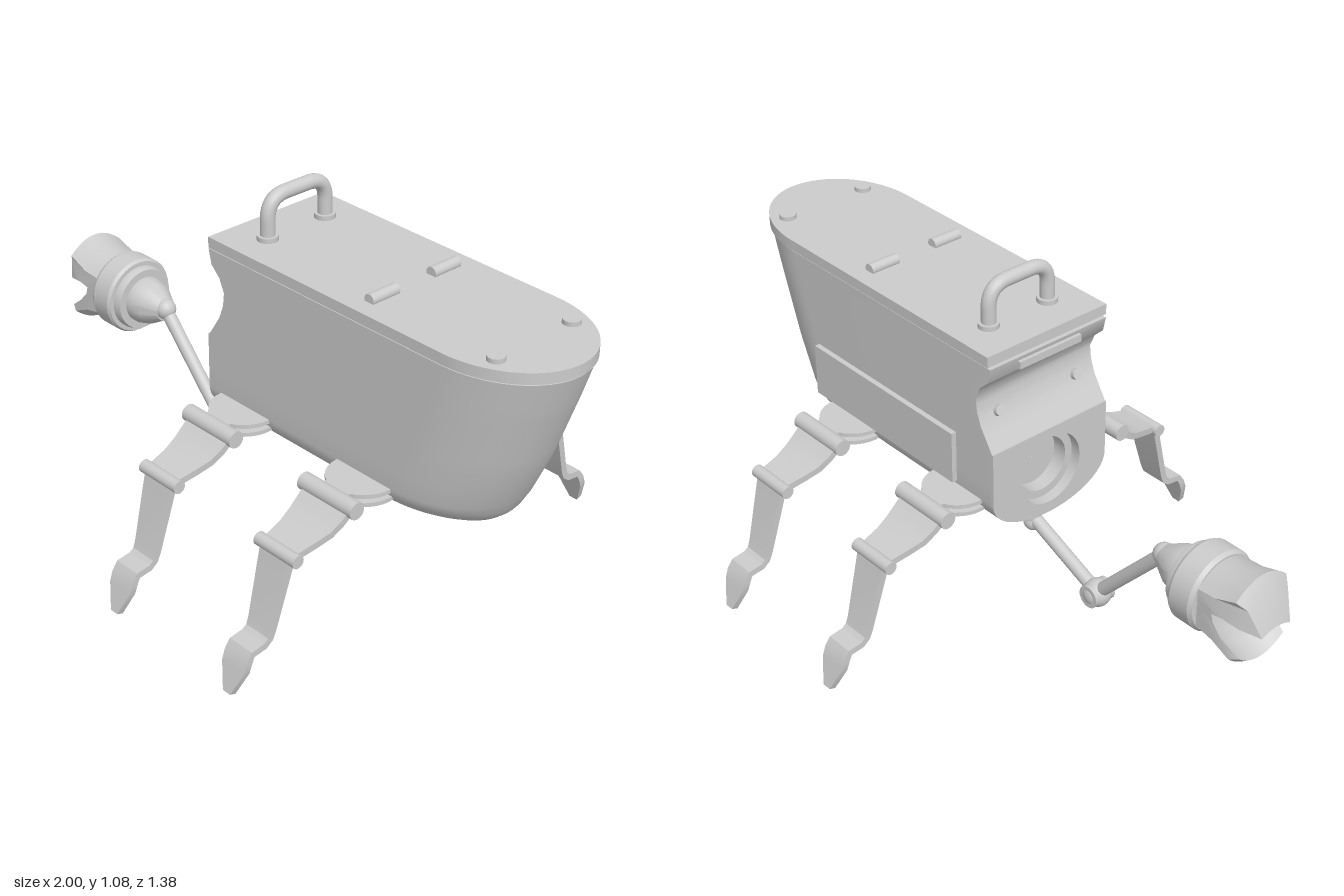
import * as THREE from 'three';
import { toCreasedNormals } from 'three/addons/utils/BufferGeometryUtils.js';

const mat = new THREE.MeshStandardMaterial({ color: 0xcccccc });
const V = (x, y, z) => new THREE.Vector3(x, y, z);

function add(parent, name, geo, x = 0, y = 0, z = 0, material = mat) {
  const m = new THREE.Mesh(geo, material);
  m.name = name;
  m.position.set(x, y, z);
  parent.add(m);
  return m;
}

// Cylinder or cone between two points
function rod(parent, name, a, b, r0, r1 = r0, seg = 24) {
  const m = add(parent, name, new THREE.CylinderGeometry(r1, r0, a.distanceTo(b), seg));
  m.position.copy(a).lerp(b, 0.5);
  m.quaternion.setFromUnitVectors(V(0, 1, 0), b.clone().sub(a).normalize());
  return m;
}

// Skin over closed rings of points; skip(i, j) leaves quads open
function loft(rings, skip = () => false, crease = 0.6) {
  const n = rings[0].length, idx = [];
  for (let i = 0; i < rings.length - 1; i++) for (let j = 0; j < n; j++) {
    if (skip(i, j)) continue;
    const a = i * n + j, b = i * n + (j + 1) % n;
    idx.push(a, b, b + n, a, b + n, a + n);
  }
  const g = new THREE.BufferGeometry().setFromPoints(rings.flat());
  g.setIndex(idx);
  return toCreasedNormals(g, crease);
}

// Piecewise linear lookup in [[key, value], ...]
function lookup(table, k) {
  let i = 0;
  while (i < table.length - 2 && k > table[i + 1][0]) i++;
  const [[k0, v0], [k1, v1]] = [table[i], table[i + 1]];
  return v0 + (v1 - v0) * (k - k0) / (k1 - k0);
}

const noseX = [[0.36, 0.6], [0.37, 0.69], [0.39, 0.765], [0.42, 0.8], [0.47, 0.828], [0.6, 0.888], [0.8, 0.96], [0.905, 0.995]];
const backX = [[0.36, -0.145], [0.64, -0.145], [0.71, -0.1], [0.75, -0.085], [0.79, -0.08], [0.83, -0.098], [0.86, -0.13], [0.905, -0.14]];
const halfWidth = y => y >= 0.47 ? 0.208 : 0.208 * Math.sqrt(Math.max(0, 1 - ((0.47 - y) / 0.11) ** 2));

function hullRing(y, w) {
  const f = lookup(noseX, y), b = lookup(backX, y), L = 0.27, ring = [V(b, y, w)];
  for (let k = 0; k <= 32; k++) {
    const a = Math.PI * k / 32;
    ring.push(V(f - L + L * Math.sin(a), y, w * Math.cos(a)));
  }
  ring.push(V(b, y, -w));
  return ring;
}

function buildBody(root) {
  const body = new THREE.Group();
  body.name = 'body';
  root.add(body);
  const ys = [];
  for (let k = 0; k <= 12; k++) ys.push(0.47 - 0.11 * Math.cos(Math.PI / 2 * k / 12));
  ys.push(0.53, 0.6, 0.64, 0.675, 0.71, 0.73, 0.75, 0.77, 0.79, 0.81, 0.83, 0.845, 0.86, 0.905);
  const rings = ys.map(y => hullRing(y, halfWidth(y)));
  rings.push(hullRing(0.905, 0));
  add(body, 'hull', loft(rings, (i, j) => j === rings[0].length - 1 && ys[i] < 0.639));

  // Flat rear plate with a round port
  const right = ys.filter(y => y <= 0.64).map(y => new THREE.Vector2(halfWidth(y), y));
  const left = right.slice(1).reverse().map(p => new THREE.Vector2(-p.x, p.y));
  const plate = new THREE.Shape([...right, ...left]);
  plate.holes.push(new THREE.Path().absarc(0, 0.505, 0.11, 0, Math.PI * 2, true));
  add(body, 'rearPlate', new THREE.ExtrudeGeometry(plate, { depth: 0.01, bevelEnabled: false, curveSegments: 32 }), -0.14)
    .rotation.y = -Math.PI / 2;
  const cup = [[0.11, 0], [0.11, 0.03], [0.085, 0.03], [0.085, 0.075], [0.001, 0.075]].map(p => new THREE.Vector2(...p));
  const port = add(body, 'rearPort', toCreasedNormals(new THREE.LatheGeometry(cup, 40), 0.6), -0.148, 0.505, 0,
    new THREE.MeshStandardMaterial({ color: 0xcccccc, side: THREE.DoubleSide }));
  port.rotation.z = -Math.PI / 2;
  for (const s of [-1, 1]) rod(body, 'rearBolt', V(-0.105, 0.735, s * 0.14), V(-0.08, 0.725, s * 0.14), 0.016);
  add(body, 'rearLatch', new THREE.BoxGeometry(0.02, 0.022, 0.22), -0.138, 0.882, 0);
  add(body, 'sidePanel', new THREE.BoxGeometry(0.62, 0.16, 0.02), 0.315, 0.56, -0.214);
}

function buildLid(root) {
  const lid = new THREE.Group();
  lid.name = 'lid';
  root.add(lid);
  const s = new THREE.Shape();
  s.moveTo(-0.135, -0.213);
  s.lineTo(0.73, -0.213);
  s.absellipse(0.73, 0, 0.27, 0.213, -Math.PI / 2, Math.PI / 2, false);
  s.lineTo(-0.135, 0.213);
  const g = new THREE.ExtrudeGeometry(s, { depth: 0.032, bevelEnabled: false, curveSegments: 32 });
  add(lid, 'lidPlate', toCreasedNormals(g, 0.6), 0, 0.911, 0).rotation.x = -Math.PI / 2;

  // Carrying handle
  const path = new THREE.CurvePath();
  const p = [V(0, 0.94, 0.105), V(0, 1.0, 0.105), V(0, 1.065, 0.04), V(0, 1.065, -0.04), V(0, 1.0, -0.105), V(0, 0.94, -0.105)];
  path.add(new THREE.LineCurve3(p[0], p[1]));
  path.add(new THREE.QuadraticBezierCurve3(p[1], V(0, 1.065, 0.105), p[2]));
  path.add(new THREE.LineCurve3(p[2], p[3]));
  path.add(new THREE.QuadraticBezierCurve3(p[3], V(0, 1.065, -0.105), p[4]));
  path.add(new THREE.LineCurve3(p[4], p[5]));
  add(lid, 'handle', new THREE.TubeGeometry(path, 60, 0.021, 16), -0.015);
  for (const z of [-1, 1]) {
    add(lid, 'handleCollar', new THREE.CylinderGeometry(0.03, 0.03, 0.016, 24), -0.015, 0.949, z * 0.105);
    rod(lid, 'lidRoller', V(0.43, 0.95, z * 0.065), V(0.43, 0.95, z * 0.16), 0.017);
    add(lid, 'lidBolt', new THREE.CylinderGeometry(0.025, 0.025, 0.016, 24), 0.845, 0.948, z * 0.138);
  }
}

// Flat bar along [z, y, halfWidth] points
function bar(pts, t) {
  const P = pts.map(p => new THREE.Vector2(p[0], p[1]));
  const rings = pts.map(([z, y, w], i) => {
    const d = P[Math.min(i + 1, P.length - 1)].clone().sub(P[Math.max(i - 1, 0)]).normalize();
    const nz = -d.y * t / 2, ny = d.x * t / 2;
    return [V(w, y + ny, z + nz), V(-w, y + ny, z + nz), V(-w, y - ny, z - nz), V(w, y - ny, z - nz)];
  });
  const cap = ([z, y]) => Array(4).fill(V(0, y, z));
  return loft([cap(pts[0]), ...rings, cap(pts[pts.length - 1])], undefined, 0.5);
}

function buildLeg(root, x, side) {
  const leg = new THREE.Group();
  leg.name = 'leg';
  leg.position.x = x;
  if (side < 0) leg.rotation.y = Math.PI;
  root.add(leg);
  for (const y of [0.439, 0.464]) {
    add(leg, 'hipDisc', new THREE.CylinderGeometry(0.1, 0.1, 0.012, 32), 0, y, 0.21);
    add(leg, 'hipPlate', new THREE.BoxGeometry(0.09, 0.012, 0.11), 0, y, 0.27);
  }
  rod(leg, 'hipHinge', V(-0.1, 0.455, 0.327), V(0.1, 0.455, 0.327), 0.025);
  add(leg, 'upperLeg', bar([[0.33, 0.45, 0.085], [0.36, 0.425, 0.083], [0.395, 0.402, 0.078], [0.44, 0.386, 0.068], [0.51, 0.37, 0.058]], 0.02));
  rod(leg, 'kneeHinge', V(-0.075, 0.37, 0.508), V(0.075, 0.37, 0.508), 0.019);
  add(leg, 'lowerLeg', bar([[0.51, 0.37, 0.056], [0.565, 0.17, 0.044], [0.575, 0.145, 0.043], [0.592, 0.132, 0.043], [0.635, 0.126, 0.043],
    [0.648, 0.105, 0.044], [0.658, 0.077, 0.043], [0.682, 0.007, 0.014]], 0.02));
}

// Curved claw: a side outline given depth, bowed around the wrist axis, narrowed to the tip
function claw(outline, sign) {
  const g = new THREE.ExtrudeGeometry(new THREE.Shape(outline.map(p => new THREE.Vector2(...p))),
    { depth: 0.19, steps: 12, bevelEnabled: false });
  g.translate(0, 0, -0.095);
  const pos = g.attributes.position;
  for (let i = 0; i < pos.count; i++) {
    const x = pos.getX(i), z = pos.getZ(i) * (1 - 0.45 * THREE.MathUtils.smoothstep(-x, 0.93, 1.0));
    pos.setZ(i, z);
    pos.setY(i, pos.getY(i) - sign * 5 * z * z);
  }
  return toCreasedNormals(g, 0.6);
}

function buildArm(root) {
  const arm = new THREE.Group();
  arm.name = 'arm';
  root.add(arm);
  const shoulder = V(-0.08, 0.305, 0), elbow = V(-0.35, 0.19, 0), wrist = V(-0.6, 0.465, 0);
  const dome = add(arm, 'shoulderMount', new THREE.SphereGeometry(0.08, 32, 12), -0.06, 0.365, 0);
  dome.scale.y = 0.5;
  rod(arm, 'shoulderPost', V(-0.08, 0.28, 0), V(-0.08, 0.37, 0), 0.025);
  add(arm, 'shoulderJoint', new THREE.SphereGeometry(0.028, 20, 14), -0.08, 0.29, 0);
  rod(arm, 'innerArm', shoulder, elbow, 0.02);
  add(arm, 'elbowJoint', new THREE.SphereGeometry(0.042, 24, 16), elbow.x, elbow.y, 0);
  rod(arm, 'elbowPin', V(-0.35, 0.19, -0.036), V(-0.35, 0.19, 0.036), 0.034);
  rod(arm, 'outerArm', elbow, wrist, 0.02);
  add(arm, 'wristJoint', new THREE.SphereGeometry(0.032, 24, 16), wrist.x, wrist.y, 0);

  // Turned gripper housing, radius against distance from the wrist
  const prof = [[0.001, 0], [0.034, 0], [0.062, 0.05], [0.072, 0.085], [0.072, 0.1], [0.095, 0.1], [0.1, 0.115], [0.1, 0.125],
    [0.113, 0.125], [0.119, 0.135], [0.119, 0.2], [0.112, 0.212], [0.001, 0.212]].map(p => new THREE.Vector2(...p));
  add(arm, 'gripperHousing', toCreasedNormals(new THREE.LatheGeometry(prof, 40), 0.5), -0.6, 0.46, 0).rotation.z = Math.PI / 2;
  add(arm, 'upperClaw', claw([[-0.8, 0.565], [-0.87, 0.57], [-0.94, 0.592], [-0.965, 0.555], [-1.0, 0.462],
    [-0.95, 0.505], [-0.9, 0.522], [-0.86, 0.515], [-0.8, 0.48]], 1));
  add(arm, 'lowerClaw', claw([[-0.8, 0.36], [-0.87, 0.345], [-0.93, 0.318], [-0.955, 0.338],
    [-0.9, 0.368], [-0.87, 0.4], [-0.858, 0.44], [-0.8, 0.445]], -1));
}

export function createModel() {
  const root = new THREE.Group();
  root.name = 'walkingMachine';
  buildBody(root);
  buildLid(root);
  for (const x of [0, 0.47]) for (const side of [1, -1]) buildLeg(root, x, side);
  buildArm(root);
  return root;
}
